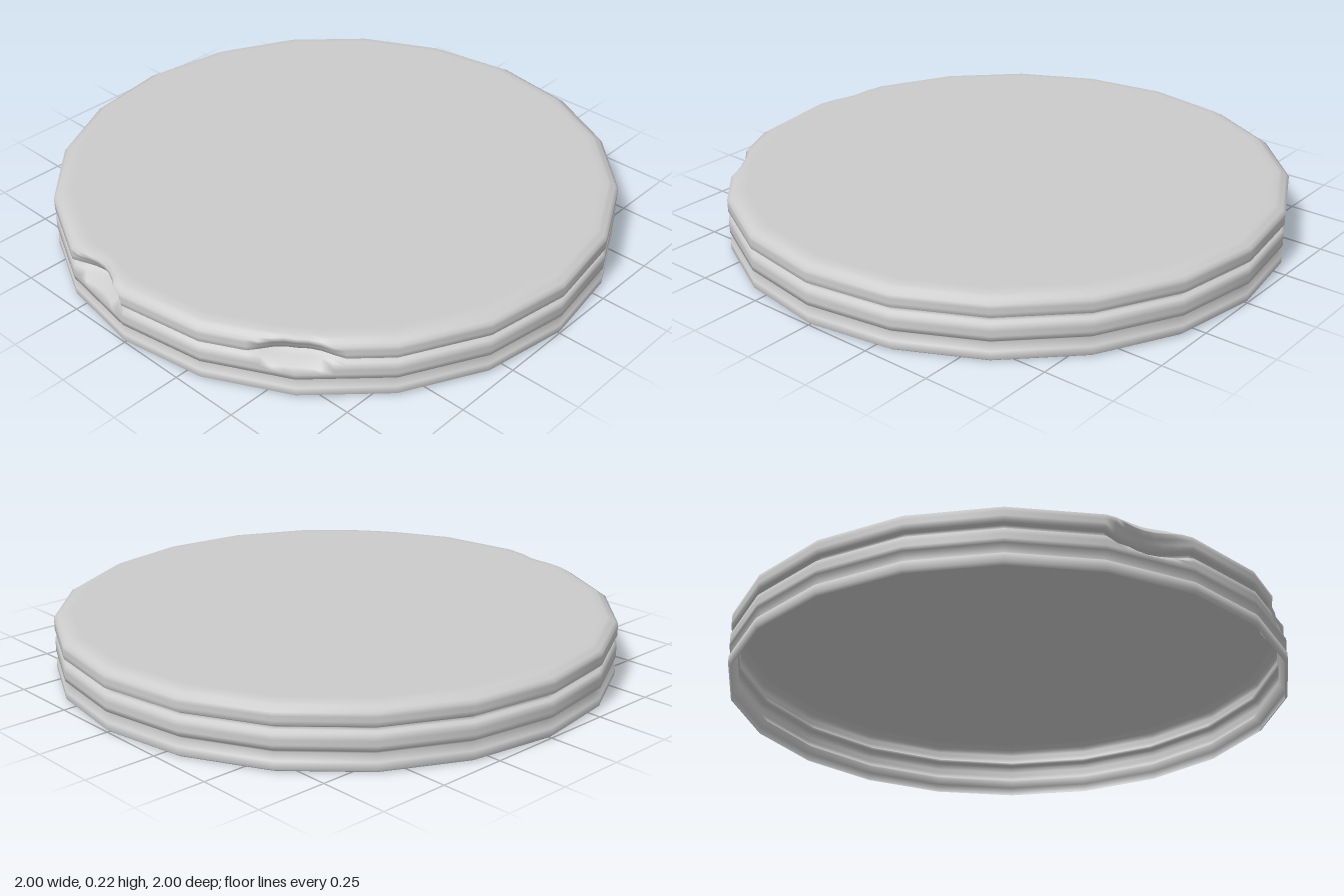
import * as THREE from 'three';

const SIDES = 20, SUB = 8;

// Half-section of the shell: three stacked ridges, chamfered rim, flat top (radius, height)
const section = [
  [0.99, 0], [1, 0.008], [1, 0.036], [0.972, 0.054], [1, 0.072], [1, 0.12],
  [0.972, 0.137], [1, 0.152], [1, 0.195], [0.965, 0.216], [0.935, 0.218], [0, 0.218],
];

// Chips in the rim: angle, half width along the wall, depth
const chips = [
  { angle: Math.atan2(-0.8, 0.58), width: 0.15, depth: 0.06 },
  { angle: Math.atan2(-0.96, -0.15), width: 0.16, depth: 0.065 },
];

// An arched hollow above a sharp ledge
function chipDepth(angle, y) {
  let d = 0;
  for (const c of chips) {
    const da = Math.atan2(Math.sin(angle - c.angle), Math.cos(angle - c.angle));
    const v = (y - 0.125) / (y < 0.125 ? 0.025 : 0.1);
    d = Math.max(d, c.depth * (1 - (da / c.width) ** 2 - v * v));
  }
  return d;
}

function shellGeometry() {
  // Extra rows on the upper wall give the chips a clean outline
  const points = [];
  section.forEach(([r, y], i) => {
    points.push(new THREE.Vector2(r, y));
    if (i >= 4 && i < 9) {
      const [r2, y2] = section[i + 1];
      for (const t of [0.33, 0.67]) points.push(new THREE.Vector2(r + (r2 - r) * t, y + (y2 - y) * t));
    }
  });
  const geo = new THREE.LatheGeometry(points, SIDES * SUB);
  const pos = geo.attributes.position;
  const smooth = geo.attributes.normal.clone();
  const dented = [];
  const step = (Math.PI * 2) / SIDES;
  for (let i = 0; i < pos.count; i++) {
    const x = pos.getX(i), y = pos.getY(i), z = pos.getZ(i);
    const r = Math.hypot(x, z);
    if (r < 0.01) continue;
    // Pull the circle onto a twenty-sided outline
    const angle = Math.atan2(x, z);
    const local = angle - (Math.floor(angle / step + 1e-6) + 0.5) * step;
    let radius = r * Math.cos(step / 2) / Math.cos(local);
    const d = chipDepth(angle, y);
    if (d > 0) {
      radius -= d;
      dented.push(i);
    }
    pos.setXYZ(i, Math.sin(angle) * radius, y, Math.cos(angle) * radius);
  }
  // Keep the smooth round shading except inside the chips
  geo.computeVertexNormals();
  const computed = geo.attributes.normal;
  for (const i of dented) smooth.setXYZ(i, computed.getX(i), computed.getY(i), computed.getZ(i));
  geo.setAttribute('normal', smooth);
  return geo;
}

export function createModel() {
  const group = new THREE.Group();
  group.name = 'lid';
  // Thin shell, open underneath
  const shell = new THREE.Mesh(
    shellGeometry(),
    new THREE.MeshStandardMaterial({ color: 0xcccccc, side: THREE.DoubleSide })
  );
  shell.name = 'ridgedLidShell';
  group.add(shell);
  return group;
}
